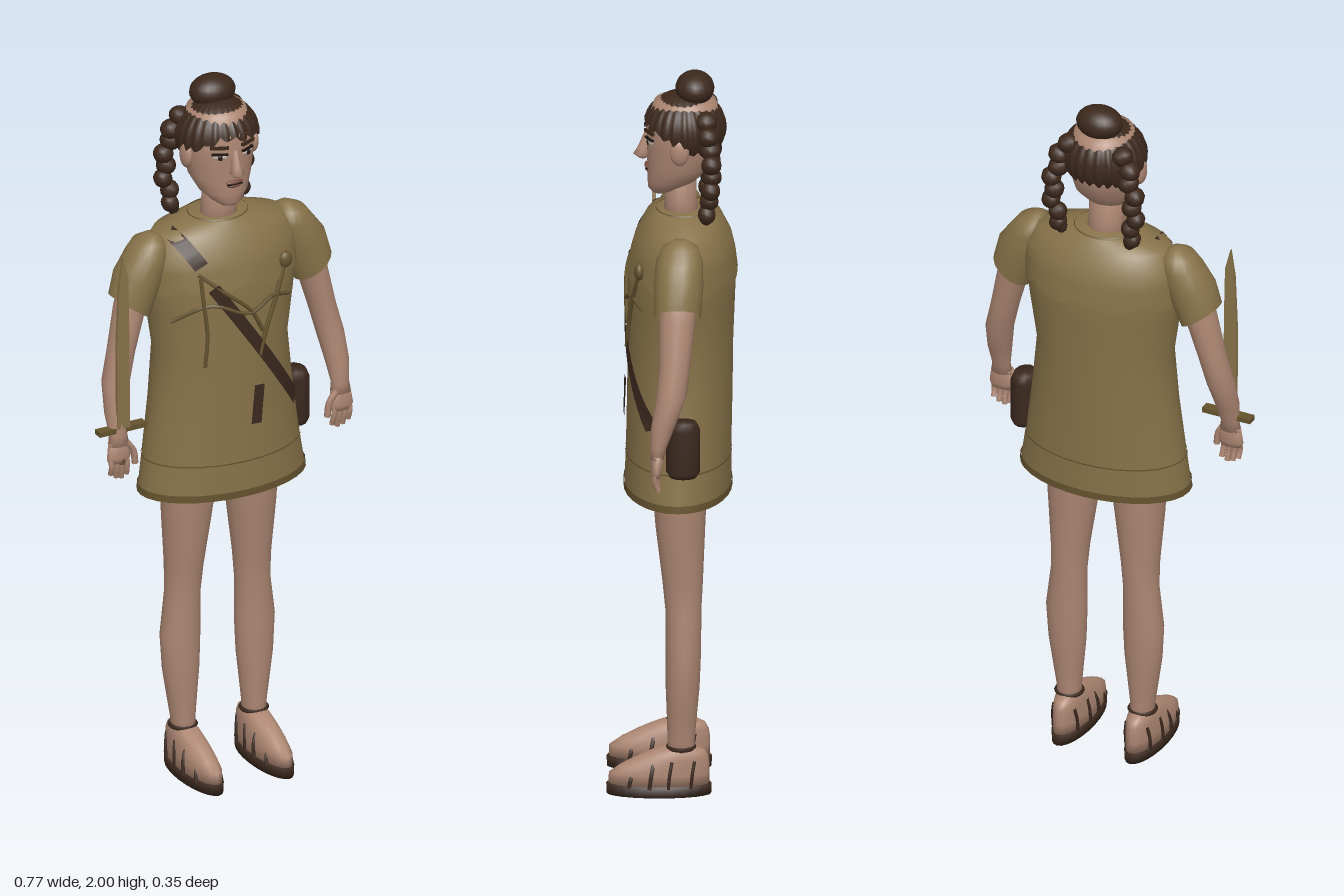
import * as THREE from 'three';

const mat = (name, color, side = THREE.FrontSide) => {
  const m = new THREE.MeshStandardMaterial({ color, side });
  m.name = name;
  return m;
};
const CX = 0.013; // body midline

// Stack of elliptical rings, lowest first: [y, cx, cz, rx, rz, tilt]
function loft(rings, n = 20, capBottom = true, capTop = true) {
  const pos = [], idx = [];
  for (const [y, cx, cz, rx, rz, tilt = 0] of rings)
    for (let i = 0; i < n; i++) {
      const a = (i / n) * Math.PI * 2, dx = rx * Math.sin(a);
      pos.push(cx + dx, y + tilt * dx, cz + rz * Math.cos(a));
    }
  for (let j = 0; j < rings.length - 1; j++)
    for (let i = 0; i < n; i++) {
      const a = j * n + i, b = j * n + (i + 1) % n;
      idx.push(a, b, b + n, a, b + n, a + n);
    }
  const cap = (j, top) => {
    const c = pos.length / 3;
    pos.push(rings[j][1], rings[j][0], rings[j][2]);
    for (let i = 0; i < n; i++) {
      const a = j * n + i, b = j * n + (i + 1) % n;
      if (top) idx.push(c, a, b); else idx.push(c, b, a);
    }
  };
  if (capBottom) cap(0, false);
  if (capTop) cap(rings.length - 1, true);
  const g = new THREE.BufferGeometry();
  g.setAttribute('position', new THREE.Float32BufferAttribute(pos, 3));
  g.setIndex(idx);
  g.computeVertexNormals();
  return g;
}

const torso = [
  [0.84, 0.017, -0.015, 0.242, 0.142], [0.95, 0.016, -0.017, 0.226, 0.14],
  [1.1, 0.016, -0.02, 0.206, 0.14], [1.25, 0.015, -0.022, 0.192, 0.14],
  [1.38, 0.015, -0.025, 0.212, 0.142], [1.47, 0.015, -0.028, 0.222, 0.143],
  [1.54, 0.015, -0.03, 0.216, 0.125], [1.59, 0.015, -0.03, 0.185, 0.1],
  [1.617, 0.014, -0.03, 0.085, 0.075],
];
const ringAt = (y) => {
  let i = 0;
  while (i < torso.length - 2 && torso[i + 1][0] < y) i++;
  const t = THREE.MathUtils.clamp((y - torso[i][0]) / (torso[i + 1][0] - torso[i][0]), 0, 1);
  return torso[i].map((v, k) => THREE.MathUtils.lerp(v, torso[i + 1][k], t));
};
// Point lying just above the front of the tunic
function onChest(x, y, lift = 0.008) {
  const [, cx, cz, rx, rz] = ringAt(y);
  const u = THREE.MathUtils.clamp((x - cx) / rx, -1, 1);
  return new THREE.Vector3(x, y, cz + rz * Math.sqrt(1 - u * u) + lift);
}
// Flat strip draped on the front of the tunic
function ribbon(x0, y0, x1, y1, w, n = 16) {
  const pos = [], idx = [], len = Math.hypot(x1 - x0, y1 - y0);
  const px = (-(y1 - y0) / len) * w / 2, py = ((x1 - x0) / len) * w / 2;
  for (let i = 0; i <= n; i++) {
    const t = i / n, x = x0 + (x1 - x0) * t, y = y0 + (y1 - y0) * t;
    for (const s of [-1, 1]) pos.push(...onChest(x + s * px, y + s * py, 0.009).toArray());
    if (i < n) idx.push(2 * i, 2 * i + 2, 2 * i + 3, 2 * i, 2 * i + 3, 2 * i + 1);
  }
  const g = new THREE.BufferGeometry();
  g.setAttribute('position', new THREE.Float32BufferAttribute(pos, 3));
  g.setIndex(idx);
  g.computeVertexNormals();
  return g;
}
const tube = (pts, r, seg = 16) => new THREE.TubeGeometry(new THREE.CatmullRomCurve3(pts), seg, r, 6);

export function createModel() {
  const root = new THREE.Group();
  const skin = mat('skin', 0xac8672), cloth = mat('khaki cloth', 0x877249, THREE.DoubleSide);
  const trim = mat('dark khaki', 0x65532f, THREE.DoubleSide), hair = mat('dark brown hair', 0x3c281c, THREE.DoubleSide);
  const leather = mat('dark leather', 0x3a281e, THREE.DoubleSide), lip = mat('lips', 0x7a4c40);
  const white = mat('eye white', 0xb8aa9c), dark = mat('eye dark', 0x1e1512);
  const add = (name, geo, m, x = 0, y = 0, z = 0, parent = root) => {
    const mesh = new THREE.Mesh(geo, m);
    mesh.name = name;
    mesh.position.set(x, y, z);
    parent.add(mesh);
    return mesh;
  };
  const ball = (name, m, x, y, z, sx, sy, sz, w = 14, h = 10) => {
    const b = add(name, new THREE.SphereGeometry(1, w, h), m, x, y, z);
    b.scale.set(sx, sy, sz);
    return b;
  };

  // Tunic, scalloped yoke and hem
  add('tunic', loft(torso, 32, false, true), cloth);
  const grow = ([y, cx, cz, rx, rz], d) => [y, cx, cz, rx + d, rz + d];
  const yoke = loft([grow(ringAt(1.45), 0.004), ...[1.5, 1.54, 1.59, 1.617].map((y) => grow(ringAt(y), 0.004))], 64, false, false);
  for (let i = 0, p = yoke.attributes.position; i < 64; i++)
    p.setY(i, 1.455 - 0.022 * Math.abs(Math.sin((i / 64) * Math.PI * 8)));
  yoke.computeVertexNormals();
  add('yoke', yoke, cloth);
  add('hem', loft([[0.838, 0.017, -0.015, 0.245, 0.145], [0.858, 0.017, -0.015, 0.243, 0.145]], 32, false, false), trim);
  add('hemStitch', loft([grow(ringAt(0.937), 0.002), grow(ringAt(0.941), 0.002)], 32, false, false), trim);
  add('neckline', loft([[1.608, 0.014, -0.03, 0.093, 0.08], [1.62, 0.014, -0.03, 0.082, 0.073]], 24, false, false), trim);

  // Crossed twigs and pendant on the chest
  const twigs = [
    [[0.155, 1.48], [0.12, 1.4], [0.085, 1.32], [0.06, 1.24]],
    [[-0.105, 1.49], [-0.1, 1.42], [-0.09, 1.32], [-0.095, 1.23]],
    [[-0.17, 1.36], [-0.08, 1.41], [0.03, 1.37], [0.1, 1.4], [0.17, 1.38]],
    [[-0.11, 1.5], [-0.04, 1.44], [0.03, 1.38], [0.07, 1.31]],
  ];
  for (const t of twigs) add('twig', tube(t.map(([x, y]) => onChest(x, y, 0.006)), 0.006), trim);
  const knob = onChest(0.155, 1.485);
  ball('twigKnob', trim, knob.x, knob.y, knob.z, 0.02, 0.024, 0.014);
  add('pendant', ribbon(0.057, 1.155, 0.045, 1.045, 0.032, 4), leather);

  // Shoulder strap and hip bag
  add('upperStrap', ribbon(-0.145, 1.595, -0.1, 1.52, 0.04), leather);
  add('longStrap', ribbon(-0.075, 1.46, 0.205, 1.055, 0.034), leather);
  add('bag', loft([[0.94, 0.25, -0.03, 0.028, 0.036], [0.955, 0.25, -0.03, 0.036, 0.045],
    [1.075, 0.25, -0.03, 0.036, 0.045], [1.095, 0.25, -0.03, 0.028, 0.036]], 12), leather);

  for (const s of [-1, 1]) {
    const side = s > 0 ? 'left' : 'right';
    const limb = (rings) => rings.map(([y, x, z, rx, rz, t = 0]) => [y, CX + s * x, z, rx, rz, s * t]);
    // Sleeve, arm and hand
    add(side + 'Sleeve', loft(limb([[1.405, 0.277, -0.015, 0.052, 0.062, 0.7], [1.48, 0.25, -0.018, 0.062, 0.066, 0.4],
      [1.545, 0.222, -0.02, 0.06, 0.062], [1.58, 0.212, -0.022, 0.044, 0.048], [1.597, 0.205, -0.022, 0.015, 0.02]]), 18, false), cloth);
    add(side + 'Arm', loft(limb([[1.03, 0.337, 0.038, 0.031, 0.018], [1.06, 0.337, 0.035, 0.025, 0.022], [1.12, 0.335, 0.022, 0.033, 0.032],
      [1.2, 0.325, 0, 0.038, 0.04], [1.28, 0.305, -0.008, 0.038, 0.041], [1.4, 0.275, -0.015, 0.043, 0.048], [1.5, 0.24, -0.02, 0.045, 0.05]]), 16), skin);
    add(side + 'Palm', loft(limb([[0.98, 0.338, 0.04, 0.03, 0.012], [0.995, 0.338, 0.04, 0.036, 0.015], [1.04, 0.337, 0.037, 0.03, 0.018]]), 12), skin);
    for (let f = 0; f < 4; f++) {
      const x = CX + s * (0.314 + f * 0.016), tip = [0.94, 0.932, 0.936, 0.947][f];
      add(side + 'Finger', tube([new THREE.Vector3(x, 1.0, 0.04), new THREE.Vector3(x, 0.97, 0.044),
        new THREE.Vector3(x - s * 0.002, tip, 0.036)], 0.008, 6), skin);
    }
    add(side + 'Thumb', tube([[0.32, 1.04], [0.298, 1.01], [0.292, 0.97]].map(([x, y]) => new THREE.Vector3(CX + s * x, y, 0.047)), 0.009, 6), skin);

    // Leg and foot
    add(side + 'Leg', loft(limb([[0.09, 0.107, -0.025, 0.033, 0.037], [0.15, 0.108, -0.024, 0.033, 0.036], [0.22, 0.11, -0.026, 0.042, 0.04],
      [0.3, 0.112, -0.028, 0.052, 0.045], [0.4, 0.113, -0.03, 0.057, 0.047], [0.52, 0.106, -0.03, 0.049, 0.048],
      [0.6, 0.103, -0.028, 0.053, 0.054], [0.75, 0.098, -0.022, 0.069, 0.066], [0.86, 0.093, -0.02, 0.08, 0.073], [1.0, 0.09, -0.02, 0.085, 0.08]]), 20), skin);
    add(side + 'Foot', loft(limb([[0.025, 0.107, 0.035, 0.044, 0.134], [0.06, 0.107, 0.034, 0.044, 0.134], [0.08, 0.107, 0.02, 0.042, 0.12],
      [0.105, 0.107, -0.003, 0.039, 0.094], [0.122, 0.107, -0.018, 0.034, 0.07], [0.135, 0.107, -0.025, 0.028, 0.035]]), 20), skin);
    // Sandal sole and straps
    add(side + 'Sole', loft(limb([[0, 0.107, 0.035, 0.046, 0.139], [0.03, 0.107, 0.035, 0.048, 0.14]]), 24), leather);
    for (const [z, h, w] of [[0.115, 0.07, 0.037], [0.06, 0.103, 0.046]]) {
      const pts = [];
      for (let i = 0; i <= 8; i++) {
        const a = (i / 8) * Math.PI;
        pts.push(new THREE.Vector3(CX + s * 0.107 + w * Math.cos(a), 0.025 + (h - 0.02) * Math.sin(a) ** 0.7, z - 0.015 * Math.sin(a)));
      }
      add(side + 'ToeStrap', tube(pts, 0.006), leather);
    }
    for (const z of [0.01, -0.05]) for (const e of [-1, 1]) {
      const w = z < 0 ? 0.036 : 0.044, x = CX + s * 0.107;
      add(side + 'SideStrap', tube([new THREE.Vector3(x + e * w, 0.025, z), new THREE.Vector3(x + e * w, 0.065, z - 0.004),
        new THREE.Vector3(x + e * (w - 0.006), 0.1, z - 0.01)], 0.005, 6), leather);
    }
    const anklet = add(side + 'AnkleStrap', new THREE.TorusGeometry(0.035, 0.006, 6, 20), leather, CX + s * 0.108, 0.132, -0.024);
    anklet.rotation.x = Math.PI / 2;

    // Ear, eye and brow
    ball(side + 'Ear', skin, CX + s * 0.1, 1.805, -0.02, 0.015, 0.037, 0.026);
    const eye = ball(side + 'Eye', white, CX + s * 0.042, 1.815, 0.06, 0.02, 0.008, 0.005);
    eye.rotation.y = s * 0.45;
    ball(side + 'Iris', dark, CX + s * 0.041, 1.815, 0.064, 0.008, 0.008, 0.004);
    const lid = add(side + 'Eyelid', new THREE.BoxGeometry(0.044, 0.005, 0.008), dark, CX + s * 0.042, 1.824, 0.061);
    const brow = add(side + 'Brow', new THREE.BoxGeometry(0.05, 0.008, 0.008), hair, CX + s * 0.043, 1.843, 0.061);
    lid.rotation.y = brow.rotation.y = s * 0.45;

    // Braid of overlapping beads hanging behind the ear
    for (let i = 0; i < 8; i++) {
      const t = i / 7, x = CX + s * (0.085 + 0.035 * Math.sin(t * 2.6) + (i % 2 ? 0.006 : -0.006));
      const b = ball(side + 'Braid', hair, x, 1.885 - 0.25 * t, -0.09 - 0.015 * Math.sin(t * 3), 0.031 - 0.007 * t, 0.027, 0.031 - 0.006 * t, 10, 8);
      b.rotation.z = i % 2 ? 0.4 : -0.4;
    }
    ball(side + 'BraidEnd', hair, CX + s * 0.1, 1.622, -0.09, 0.016, 0.022, 0.016, 10, 8);
  }

  // Neck and head
  add('neck', loft([[1.58, 0.014, -0.027, 0.055, 0.05], [1.64, 0.013, -0.022, 0.048, 0.043], [1.73, 0.013, -0.02, 0.047, 0.045]]), skin);
  add('head', loft([[1.663, CX, 0.032, 0.024, 0.022], [1.675, CX, 0.02, 0.042, 0.044], [1.7, CX, 0, 0.067, 0.066], [1.74, CX, -0.02, 0.085, 0.086],
    [1.8, CX, -0.03, 0.096, 0.099], [1.87, CX, -0.03, 0.099, 0.1], [1.92, CX, -0.035, 0.078, 0.082], [1.935, CX, -0.035, 0.04, 0.04]], 24), skin);
  add('nose', loft([[1.757, CX, 0.078, 0.01, 0.01], [1.768, CX, 0.08, 0.02, 0.024], [1.785, CX, 0.074, 0.013, 0.019], [1.83, CX, 0.062, 0.009, 0.012]], 10), skin);
  ball('upperLip', lip, CX, 1.737, 0.066, 0.026, 0.006, 0.008);
  ball('lowerLip', lip, CX, 1.726, 0.064, 0.02, 0.006, 0.008);
  add('mouthLine', new THREE.BoxGeometry(0.044, 0.003, 0.006), dark, CX, 1.731, 0.068);

  // Ridged hair with a ragged fringe, lower at the nape
  const cap = new THREE.SphereGeometry(1, 96, 12, 0, Math.PI * 2, 0, Math.PI / 2), p = cap.attributes.position;
  for (let i = 0; i < p.count; i++) {
    const a = ((i % 97) / 96) * Math.PI * 2, v = Math.floor(i / 97) / 12;
    const th = v * (1.3 + 0.53 * (1 - Math.cos(a)) + 0.14 * Math.abs(Math.sin(a * 8)) + 0.05 * Math.sin(a * 5));
    const r = 1 + 0.035 * Math.cos(a * 24) * Math.sin(th);
    p.setXYZ(i, CX + 0.112 * r * Math.sin(th) * Math.sin(a), 1.845 + 0.1 * Math.cos(th), -0.033 + 0.108 * r * Math.sin(th) * Math.cos(a));
  }
  // Rows run front to left, so the triangles already face outward
  cap.computeVertexNormals();
  add('hair', cap, hair);
  ball('bun', hair, 0.015, 1.955, -0.06, 0.065, 0.045, 0.052, 20, 14);

  // Short sword held upright beside the right arm
  const blade = new THREE.Shape([[-0.018, 0], [0.02, 0], [0.017, 0.3], [0.014, 0.44], [-0.001, 0.5], [-0.013, 0.42], [-0.02, 0.25]]
    .map(([x, y]) => new THREE.Vector2(x, y)));
  add('swordBlade', new THREE.ExtrudeGeometry(blade, { depth: 0.01, bevelEnabled: false }), cloth, -0.318, 1.083, 0.045);
  add('swordGuard', new THREE.BoxGeometry(0.142, 0.014, 0.028), trim, -0.317, 1.077, 0.038);
  add('swordGrip', new THREE.CylinderGeometry(0.009, 0.009, 0.1, 8), trim, -0.318, 1.025, 0.045);
  return root;
}
